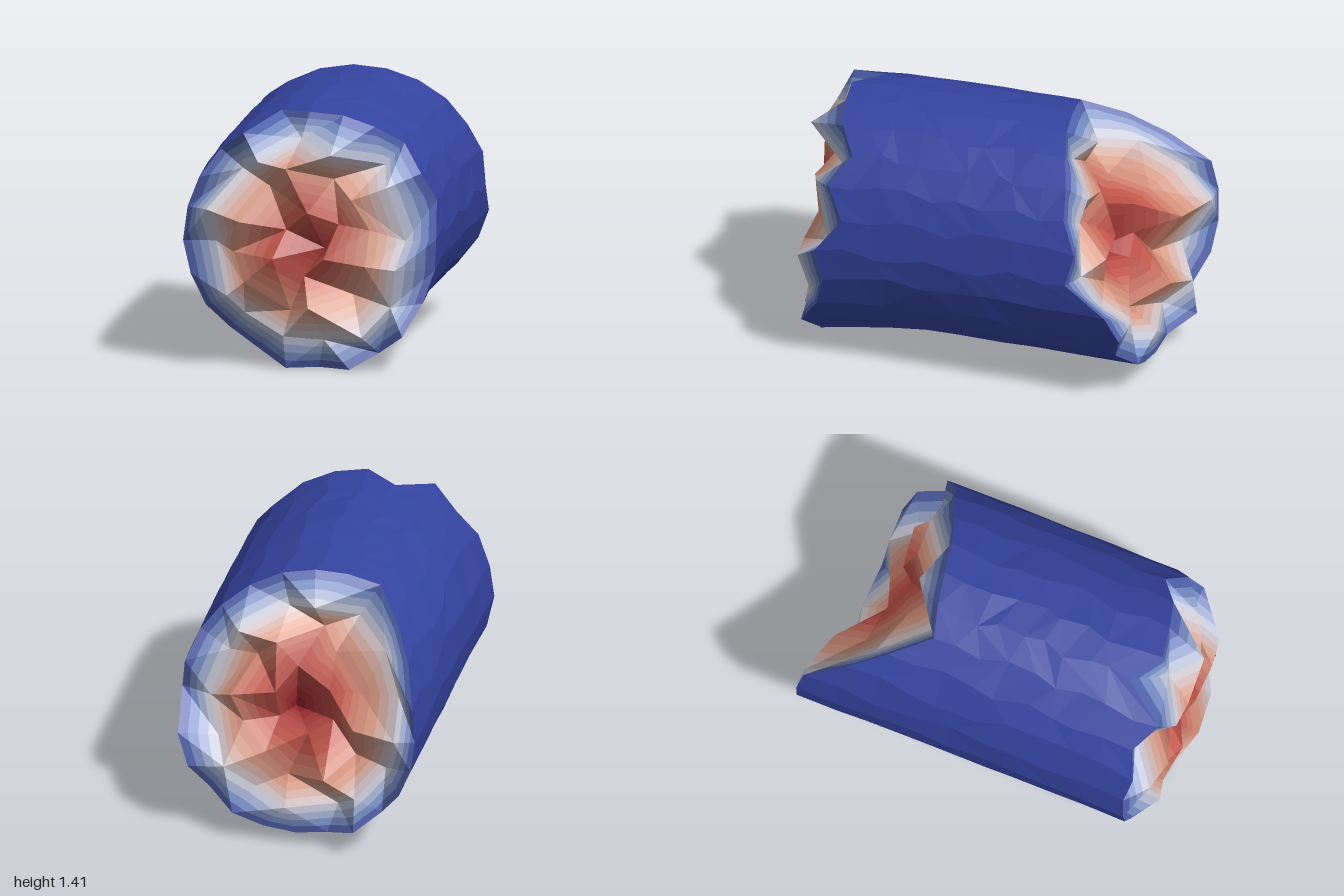
import * as THREE from 'three';

const N = 24; // sides of the barrel
// z of the ragged rims, one value every 15 degrees counter-clockwise from +x
const FRONT_RIM = [.68, .54, .64, .56, .68, .74, .79, .69, .94, .86, .92, .90,
  .91, .90, .89, .80, .78, .88, .78, .86, .78, .83, .70, .64];
const BACK_RIM = [-.73, -.77, -.68, -.64, -.57, -.50, -.45, -.40, -.34, -.53, -.72, -.92,
  -.95, -.96, -.95, -.90, -.99, -.90, -.92, -.94, -.98, -.92, -.99, -.94];

function seeded(seed) {
  let s = seed;
  return () => {
    s = (s * 16807) % 2147483647;
    return s / 2147483647 * 2 - 1;
  };
}

const lerp = THREE.MathUtils.lerp;

// Point on the leaning barrel at depth z, step i round it, scaled by s from the axis
function section(z, i, s = 1) {
  const a = i / N * Math.PI * 2;
  const f = Math.max(z, 0) ** 2;
  const sag = Math.max(0, -Math.sin(a)) * 0.08 * f;
  return new THREE.Vector3(
    0.11 * z + (Math.cos(a) * 0.68 + sag) * s,
    0.755 - 0.085 * f + Math.sin(a) * (0.667 + 0.035 * f) * s,
    z);
}

// Colour from the skin (t = 0) to the core (t = 1)
const RAMP = [[0, 0x34439f], [0.1, 0x7f96c8], [0.2, 0xc6c9d4], [0.36, 0xd39a83],
  [0.62, 0xc0564a], [1, 0x8f1026]];
function rampColor(t) {
  let k = 1;
  while (k < RAMP.length - 1 && t > RAMP[k][0]) k++;
  const [t0, c0] = RAMP[k - 1], [t1, c1] = RAMP[k];
  return new THREE.Color(c0).lerp(new THREE.Color(c1), Math.min(1, (t - t0) / (t1 - t0)));
}

function facetMesh(points, color, name) {
  const geometry = new THREE.BufferGeometry().setFromPoints(points);
  geometry.computeVertexNormals();
  const material = new THREE.MeshStandardMaterial({ color, flatShading: true, side: THREE.DoubleSide });
  const mesh = new THREE.Mesh(geometry, material);
  mesh.name = name;
  return mesh;
}

// Faceted skin running from the back rim to the front rim
function makeBarrel() {
  const rand = seeded(71), ROWS = 9, grid = [];
  for (let r = 0; r <= ROWS; r++) {
    const inner = r > 0 && r < ROWS;
    grid.push(FRONT_RIM.map((zf, i) => {
      const z = lerp(BACK_RIM[i], zf, r / ROWS) + (inner ? rand() * 0.03 : 0);
      return section(z, i + (inner ? rand() * 0.2 : 0), inner ? 1 + rand() * 0.005 : 1);
    }));
  }
  const pts = [];
  for (let r = 0; r < ROWS; r++) {
    for (let i = 0; i < N; i++) {
      const j = (i + 1) % N;
      const a = grid[r][i], b = grid[r][j], c = grid[r + 1][j], d = grid[r + 1][i];
      if ((r + i) % 2) pts.push(a, b, c, a, c, d);
      else pts.push(a, b, d, b, c, d);
    }
  }
  return facetMesh(pts, 0x34439f, 'barrelSkin');
}

// Jagged broken end: rings of fewer and fewer points, drawn as thin colour bands
function makeEnd({ name, rim, level, slope, blend, rough, core, tMax, flip, seed }) {
  const rand = seeded(seed), scales = [1, 0.78, 0.53, 0.27, 0], counts = [N, 16, 12, 6, 1];
  const rings = scales.map((s, k) => {
    const n = counts[k], step = N / n;
    if (k === 0) return rim.map((z, i) => section(z, i));
    if (n === 1) return [new THREE.Vector3(...core)];
    return Array.from({ length: n }, (_, j) => {
      const i = (j + 0.5) * step - 0.5;
      const lo = Math.floor(i), z = lerp(rim[lo], rim[(lo + 1) % N], i - lo);
      const p = section(z, i + rand() * 0.4, s + rand() * 0.07);
      const zig = (j % 2 ? 0.6 : -0.6) + rand() * 0.5;
      p.z = THREE.MathUtils.clamp(lerp(z, level + slope * p.x, blend[k]) + zig * rough[k], -1, 1);
      return p;
    });
  });

  const group = new THREE.Group();
  group.name = name;
  const BANDS = 4;
  for (let k = 0; k < 4; k++) {
    const bands = Array.from({ length: BANDS }, () => []);
    const tri = (list, a, b, c) => {
      if (a.equals(b) || b.equals(c) || a.equals(c)) return;
      if (flip) list.push(a, c, b);
      else list.push(a, b, c);
    };
    // Slice the facet between outer edge a-b and inner edge d-c into bands
    const slice = (a, b, c, d) => bands.forEach((list, m) => {
      const u = m / BANDS, v = (m + 1) / BANDS;
      const a0 = a.clone().lerp(d, u), b0 = b.clone().lerp(c, u);
      const a1 = a.clone().lerp(d, v), b1 = b.clone().lerp(c, v);
      tri(list, a0, b0, b1);
      tri(list, a0, b1, a1);
    });
    const at = (ring, i) => rings[ring][Math.floor((i % N) * counts[ring] / N)];
    for (let i = 0; i < N; i++) {
      const a = at(k, i), b = at(k, i + 1), c = at(k + 1, i + 1), d = at(k + 1, i);
      // Alternate the diagonal so the facets do not swirl
      const mid = i % 4 < 2 ? [c, a] : [d, b];
      if (a !== b) slice(a, b, mid[0], mid[0]);
      if (c !== d) slice(mid[1], mid[1], c, d);
    }
    bands.forEach((list, m) => {
      const t = 1 - lerp(scales[k], scales[k + 1], (m + 0.5) / BANDS);
      group.add(facetMesh(list, rampColor(t * tMax), `${name}Band${k * BANDS + m + 1}`));
    });
  }
  return group;
}

export function createModel() {
  const model = new THREE.Group();
  model.name = 'brokenCylinder';
  model.add(
    makeBarrel(),
    // Bulging front break
    makeEnd({
      name: 'frontBreak', rim: FRONT_RIM, level: 0.93, slope: -0.15, blend: [0, 0.6, 0.9, 1],
      rough: [0, 0.12, 0.09, 0.05], core: [0.18, 0.67, 0.83], tMax: 0.9, flip: false, seed: 1234,
    }),
    // Hollowed, slanting back break
    makeEnd({
      name: 'backBreak', rim: BACK_RIM, level: -0.72, slope: 0, blend: [0, 0.2, 0.45, 0.9],
      rough: [0, 0.08, 0.08, 0.05], core: [0, 0.68, -0.61], tMax: 1, flip: true, seed: 4321,
    }),
  );
  return model;
}
